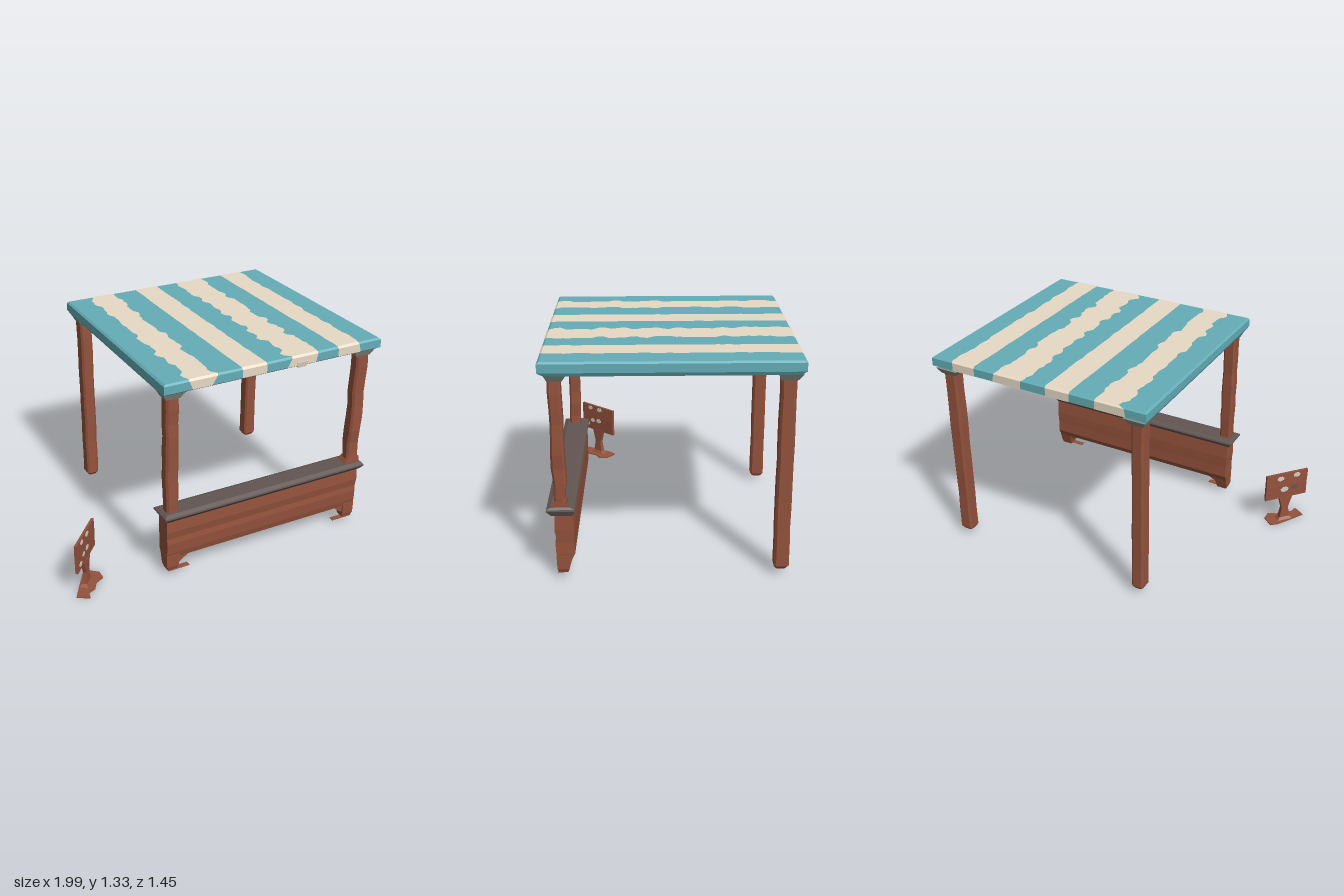
import * as THREE from 'three';

const mat = (name, color) => {
  const m = new THREE.MeshStandardMaterial({ color });
  m.name = name;
  return m;
};

// Small seeded generator for the worn, hand-cut edges
let seed = 7;
const rnd = (a) => {
  seed = (seed * 16807) % 2147483647;
  return (seed / 2147483647 * 2 - 1) * a;
};

// Flat-shaded geometry from triangles, grouped by direction:
// 0 = left/right, 1 = front/back, 2 = down, 3 = up
function fromTriangles(tris) {
  const buckets = [[], [], [], []];
  for (const [a, b, c] of tris) {
    const n = b.clone().sub(a).cross(c.clone().sub(a));
    const ax = Math.abs(n.x), ay = Math.abs(n.y), az = Math.abs(n.z);
    const k = ay >= ax && ay >= az ? (n.y < 0 ? 2 : 3) : ax > az ? 0 : 1;
    for (const p of [a, b, c]) buckets[k].push(p.x, p.y, p.z);
  }
  const geo = new THREE.BufferGeometry();
  geo.setAttribute('position', new THREE.Float32BufferAttribute(buckets.flat(), 3));
  let start = 0;
  buckets.forEach((b, i) => {
    if (b.length) geo.addGroup(start, b.length / 3, i);
    start += b.length / 3;
  });
  geo.computeVertexNormals();
  return geo;
}

// Closed solid through rectangles [y, x0, x1, z0, z1], with optional chamfered corners
function loft(rings, c = 0) {
  const pts = rings.map(([y, x0, x1, z0, z1]) => {
    const flat = c
      ? [[x0, z1 - c], [x0 + c, z1], [x1 - c, z1], [x1, z1 - c],
         [x1, z0 + c], [x1 - c, z0], [x0 + c, z0], [x0, z0 + c]]
      : [[x0, z1], [x1, z1], [x1, z0], [x0, z0]];
    return flat.map(([x, z]) => new THREE.Vector3(x, y, z));
  });
  const tris = [], n = pts[0].length, top = pts[pts.length - 1], bottom = pts[0];
  for (let i = 0; i + 1 < pts.length; i++) {
    for (let j = 0; j < n; j++) {
      const k = (j + 1) % n, lo = pts[i], hi = pts[i + 1];
      tris.push([lo[j], lo[k], hi[k]], [lo[j], hi[k], hi[j]]);
    }
  }
  for (let j = 1; j + 1 < n; j++) {
    tris.push([top[0], top[j], top[j + 1]], [bottom[0], bottom[j + 1], bottom[j]]);
  }
  return fromTriangles(tris);
}

export function createModel() {
  seed = 7;
  const wood = mat('redWood', 0x94523c);
  const teal = mat('tealCloth', 0x64adb7);
  const cream = mat('creamCloth', 0xe8dac5);
  const dark = mat('darkCounter', 0x615552);
  const grey = mat('greyUnderside', 0x838d82);
  const paint = mat('palePaint', 0xd6d0c4);

  const model = new THREE.Group();
  model.name = 'marketStall';
  const add = (name, geo, material, parent = model) => {
    const m = new THREE.Mesh(geo, material);
    m.name = name;
    parent.add(m);
    return m;
  };

  // Roof slab: teal sides, grey below
  const X0 = -0.47, X1 = 0.99, Z = 0.722;
  add('roofSlab', loft([
    [1.243, X0 + 0.012, X1 - 0.012, -Z + 0.035, Z - 0.035],
    [1.265, X0, X1, -Z, Z],
    [1.315, X0, X1, -Z, Z],
    [1.325, X0 + 0.012, X1 - 0.012, -Z + 0.012, Z - 0.012],
  ]), [teal, teal, grey, teal]);

  // Cream stripes: thin ribbons over the front edge, top and back edge
  const rows = [[1.265, -Z - 0.002], [1.316, -Z - 0.002]];
  for (let i = 0; i <= 44; i++) rows.push([1.327, (i / 22 - 1) * (Z - 0.012)]);
  rows.push([1.316, Z + 0.002], [1.265, Z + 0.002]);
  const edge = (x, wave) => {
    let d = 0;
    return rows.map((_, i) => x + (d = i % 2 ? d * 0.7 : rnd(wave)));
  };
  const stripes = [
    [-0.315, 0.026, -0.15, 0.022], [0.023, 0.003, 0.182, 0.004],
    [0.34, 0.024, 0.525, 0.022], [0.68, 0.003, 0.836, 0.012],
  ];
  for (const [xa, wa, xb, wb] of stripes) {
    const a = edge(xa, wa), b = edge(xb, wb), tris = [];
    const P = (xs, i) => new THREE.Vector3(xs[i], rows[i][0], rows[i][1]);
    for (let i = 0; i + 1 < rows.length; i++) {
      tris.push([P(a, i), P(a, i + 1), P(b, i + 1)], [P(a, i), P(b, i + 1), P(b, i)]);
    }
    add('roofStripe', fromTriangles(tris), cream);
  }

  // Loose fold of cloth hanging over the front edge
  add('clothFold', loft([
    [1.25, 0.4, 0.455, 0.69, 0.722],
    [1.285, 0.385, 0.465, 0.7, 0.729],
  ]), cream);

  // Posts with slightly worn edges, and flared caps under the roof
  const post = (name, x0, x1, z0, z1, y0, wear) => {
    const rings = [[y0, x0 + 0.012, x1 - 0.012, z0 + 0.012, z1 - 0.012]];
    for (let i = 0; i <= 9; i++) {
      rings.push([y0 + 0.02 + (1.2 - y0) * i / 9,
        x0 + rnd(wear), x1 + rnd(wear), z0 + rnd(wear), z1 + rnd(wear)]);
    }
    add(name, loft(rings, 0.012), wood);
    add('postCap', loft([
      [1.205, x0 - 0.004, x1 + 0.004, z0 - 0.004, z1 + 0.004],
      [1.246, Math.max(x0 - 0.035, X0 + 0.014), Math.min(x1 + 0.035, X1 - 0.014),
        z0 - 0.03, z1 + 0.02],
    ]), grey);
  };
  post('frontRightPost', -0.432, -0.35, 0.598, 0.67, 0.4, 0.003);
  post('frontLeftPost', 0.862, 0.95, 0.598, 0.67, 0.4, 0.006);
  post('backRightPost', -0.432, -0.35, -0.68, -0.592, 0.04, 0.002);
  post('backLeftPost', 0.862, 0.95, -0.68, -0.592, 0.04, 0.002);
  add('postFoot', loft([
    [0.45, 0.838, 0.952, 0.594, 0.674],
    [0.49, 0.866, 0.95, 0.598, 0.67],
  ]), wood);

  // Counter: boarded panel with a grey underside and a dark top
  add('counterPanel', loft([
    [0.12, -0.428, 0.948, 0.575, 0.655],
    [0.16, -0.43, 0.95, 0.556, 0.664],
    [0.23, -0.428, 0.948, 0.558, 0.667],
    [0.265, -0.43, 0.95, 0.557, 0.662],
    [0.315, -0.432, 0.952, 0.556, 0.669],
    [0.41, -0.43, 0.95, 0.562, 0.664],
  ]), [wood, wood, grey, wood]);
  add('counterTop', loft([
    [0.404, -0.435, 0.952, 0.565, 0.685],
    [0.435, -0.462, 0.965, 0.546, 0.712],
    [0.445, -0.46, 0.963, 0.55, 0.71],
    [0.457, -0.44, 0.955, 0.575, 0.685],
  ]), dark);

  // Short legs with corner gussets and thin floor plates
  for (const [x, s] of [[-0.43, 1], [0.95, -1]]) {
    const span = (a, b) => [Math.min(x + s * a, x + s * b), Math.max(x + s * a, x + s * b)];
    add('counterLeg', loft([
      [0.035, ...span(0.008, 0.075), 0.6, 0.655],
      [0.06, ...span(0, 0.08), 0.592, 0.662],
      [0.14, ...span(0, 0.085), 0.57, 0.664],
    ]), wood);
    add('legGusset', loft([
      [0.075, ...span(0.07, 0.085), 0.595, 0.655],
      [0.125, ...span(0.07, 0.155), 0.585, 0.655],
    ]), wood);
    add('footPlate', loft([
      [0.031, ...span(0.01, 0.155), 0.625, 0.66],
      [0.034, ...span(0.01, 0.155), 0.625, 0.66],
    ]), wood);
  }

  // Signpost standing beside the stall
  const sign = new THREE.Group();
  sign.name = 'signpost';
  sign.position.set(-0.895, 0, 0.505);
  sign.rotation.y = 0.85;
  model.add(sign);

  add('signBoard', loft([
    [0.182, -0.153, 0.153, -0.008, 0.008],
    [0.28, -0.15, 0.152, -0.01, 0.01],
    [0.375, -0.153, 0.153, -0.008, 0.008],
  ]), wood, sign);
  add('signStem', loft([
    [0.006, -0.055, 0.055, -0.03, 0.03],
    [0.025, -0.036, 0.036, -0.016, 0.016],
    [0.1, -0.024, 0.024, -0.012, 0.012],
    [0.185, -0.048, 0.048, -0.012, 0.012],
  ]), wood, sign);

  // Ragged flat base
  const outline = [[-0.144, -0.013], [-0.06, -0.03], [0.067, -0.052], [0.12, -0.045], [0.121, 0.04],
    [0.076, 0.079], [0.02, 0.055], [-0.04, 0.068], [-0.085, 0.045], [-0.132, 0.07], [-0.137, 0.034]];
  const base = new THREE.ExtrudeGeometry(
    new THREE.Shape(outline.map(([x, y]) => new THREE.Vector2(x, y))),
    { depth: 0.008, bevelEnabled: false });
  base.rotateX(Math.PI / 2).translate(0, 0.008, 0);
  add('signBase', base, wood, sign);

  // Chipped paint dabs on the board: [along, height, radius, side, material]
  const dabs = [
    [-0.07, 0.352, 0.018, 1, paint], [0.02, 0.352, 0.02, 1, paint], [-0.05, 0.256, 0.018, 1, paint],
    [0.012, 0.262, 0.021, 1, paint], [-0.105, 0.222, 0.019, 1, paint],
    [0.05, 0.34, 0.022, -1, paint], [-0.07, 0.35, 0.022, -1, paint],
    [0.015, 0.25, 0.026, -1, paint], [-0.06, 0.255, 0.02, -1, dark],
  ];
  for (const [u, y, r, side, material] of dabs) {
    const dab = new THREE.CylinderGeometry(r, r, 0.004, 7);
    dab.rotateX(Math.PI / 2).scale(1.2, 0.8, 1).translate(u, y, side * 0.01);
    add('paintDab', dab, material, sign);
  }
  return model;
}
